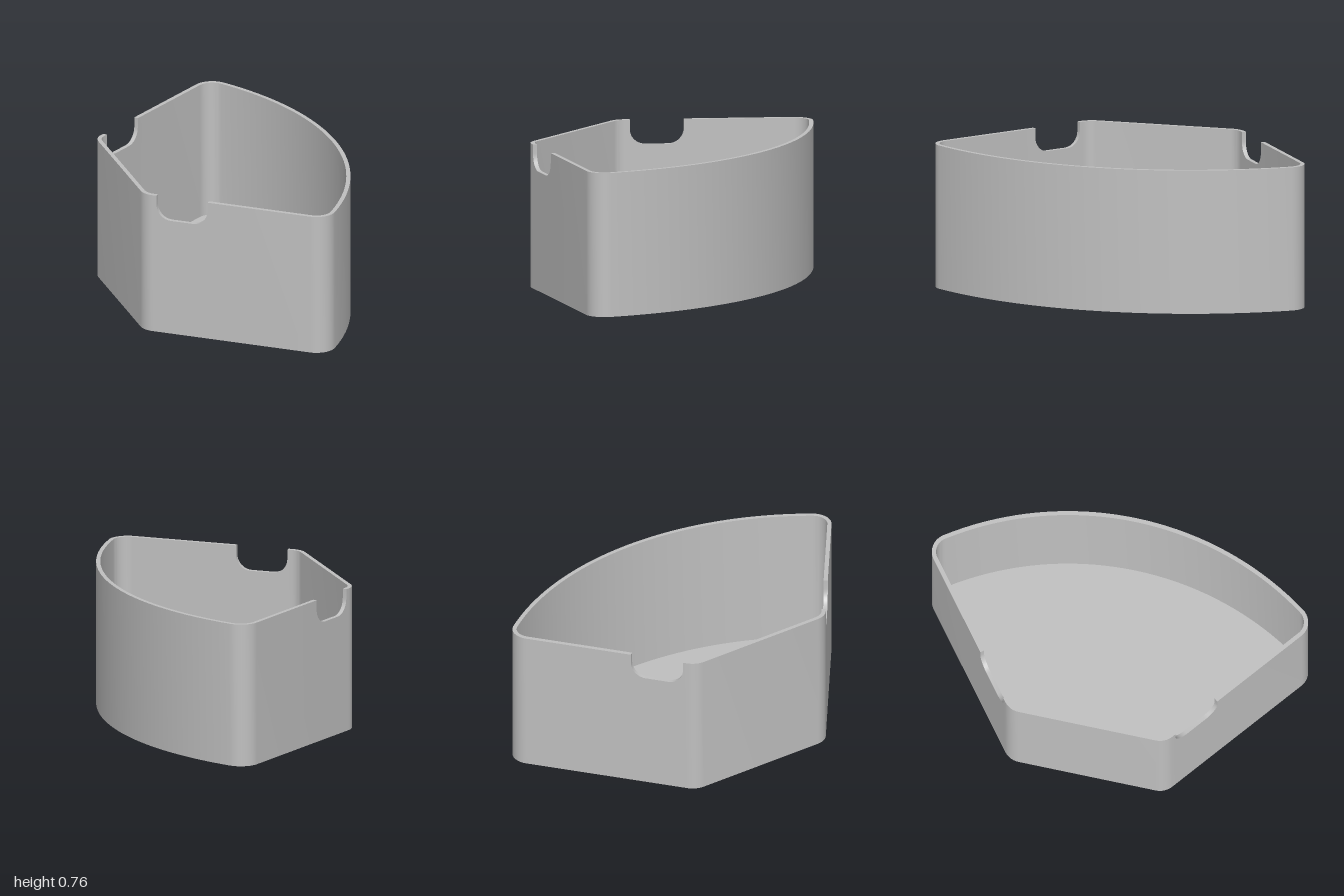
import * as THREE from 'three';
import { toCreasedNormals } from 'three/addons/utils/BufferGeometryUtils.js';

const HEIGHT = 0.76, WALL = 0.022, FLOOR = 0.022;
const CORNER = 0.1;                       // radius of the rounded corners
const FRONT = 0.6225, SIDE = 2.2288;      // normal angles where bow and straight side begin

// One station of the outline: position, outward normal angle and rim height
const station = (x, z, angle, top = HEIGHT) =>
  ({ x, z, nx: Math.cos(angle), nz: Math.sin(angle), top });

function arc(cx, cz, r, from, to, steps) {
  const list = [];
  for (let i = 0; i <= steps; i++) {
    const a = from + (to - from) * i / steps;
    list.push(station(cx + r * Math.cos(a), cz + r * Math.sin(a), a));
  }
  return list;
}

// Rounded notch cut down from the rim of the straight side
function notch() {
  const start = -0.31, end = -0.533, bottom = 0.63, r = 0.08, rx = 0.063;
  const at = (x, top) => station(x, (0.689 + 0.612 * x) / 0.791, SIDE, top);
  const list = [at(start, HEIGHT)], back = [at(end, HEIGHT)];
  for (let i = 0; i <= 8; i++) {
    const a = i / 8 * Math.PI / 2;
    const dx = rx * (1 - Math.cos(a)), y = bottom + r * (1 - Math.sin(a));
    list.push(at(start - dx, y));
    back.push(at(end + dx, y));
  }
  return [...list, ...back.reverse()];
}

// Plan outline: half from the bow to the flat end, then mirrored
function outline() {
  const half = [
    ...arc(-1.0516, 0, 1.6416, 0, FRONT, 18),
    ...arc(0.2, 0.9, CORNER, FRONT, SIDE, 12).slice(1),
    ...notch(),
    ...arc(-0.49, 0.3655, CORNER, SIDE, Math.PI, 8),
  ];
  const mirrored = half.slice(1).reverse().map(s => ({ ...s, z: -s.z, nz: -s.nz }));
  return [...half, ...mirrored];
}

// Wall skin: outside, rim and inside swept along the outline
function wallGeometry(stations) {
  const sections = stations.map(({ x, z, nx, nz, top }) => {
    const ix = x - nx * WALL, iz = z - nz * WALL;
    return [[x, 0, z], [x, top, z], [ix, top, iz], [ix, FLOOR, iz]];
  });
  const pos = [];
  sections.forEach((a, i) => {
    const b = sections[(i + 1) % sections.length];
    for (let k = 0; k < 3; k++) {
      pos.push(...a[k], ...a[k + 1], ...b[k + 1], ...a[k], ...b[k + 1], ...b[k]);
    }
  });
  const geometry = new THREE.BufferGeometry();
  geometry.setAttribute('position', new THREE.Float32BufferAttribute(pos, 3));
  return toCreasedNormals(geometry, Math.PI / 6);
}

// Flat plate bounded by the outline, moved inward by inset
function plateGeometry(stations, inset) {
  const points = stations.map(s => new THREE.Vector2(s.x - s.nx * inset, s.z - s.nz * inset));
  return new THREE.ShapeGeometry(new THREE.Shape(points));
}

export function createModel() {
  const group = new THREE.Group();
  group.name = 'openBin';
  const grey = new THREE.MeshStandardMaterial({ color: 0xc0c0c0 });
  grey.name = 'grey';
  const stations = outline();
  const add = (name, geometry) => {
    const mesh = new THREE.Mesh(geometry, grey);
    mesh.name = name;
    group.add(mesh);
  };

  add('notchedWall', wallGeometry(stations));
  add('floor', plateGeometry(stations, WALL).rotateX(-Math.PI / 2).translate(0, FLOOR, 0));
  add('underside', plateGeometry(stations, 0).rotateX(Math.PI / 2));
  return group;
}
